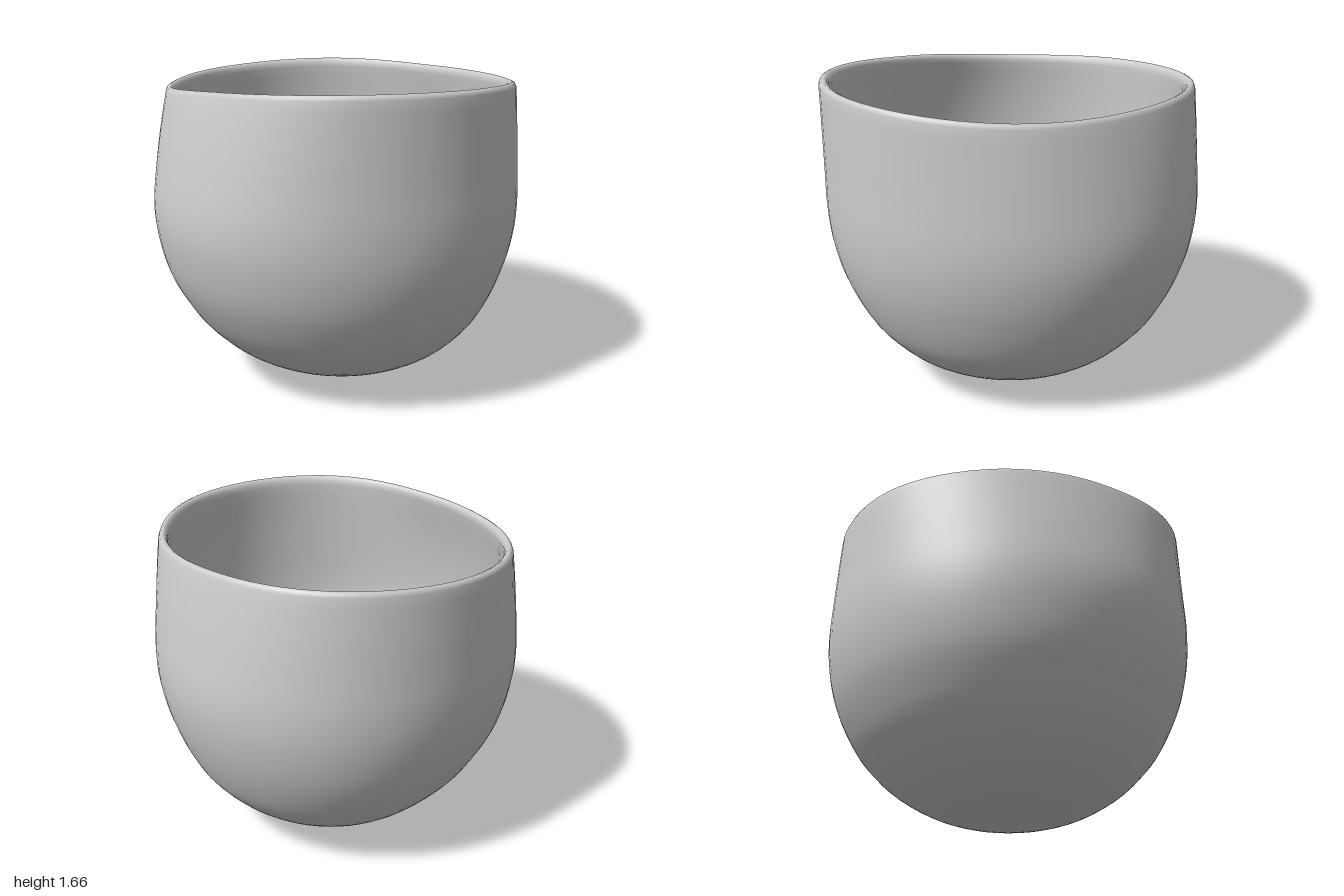
import * as THREE from 'three';
import { mergeVertices } from 'three/addons/utils/BufferGeometryUtils.js';

const v2 = (p) => new THREE.Vector2(p[0], p[1]);

// Smooth, evenly sampled profile through a few points
const smoothProfile = (pts, n) => new THREE.SplineCurve(pts.map(v2)).getSpacedPoints(n);

// Hand-formed irregularity at 8 directions, starting at the front and turning to +x:
// [belly radius, rim radius, rim height]
const irregularity = new THREE.CatmullRomCurve3([
  [1.0, 0.99, 1.66],
  [1.01, 0.995, 1.65],
  [0.98, 0.92, 1.61],
  [0.985, 0.872, 1.605],
  [1.0, 0.955, 1.615],
  [0.965, 0.94, 1.595],
  [0.98, 0.895, 1.58],
  [1.005, 0.868, 1.625],
].map((p) => new THREE.Vector3(...p)), true, 'catmullrom', 0.5);

function bowlGeometry() {
  // Outer wall from the base up, over the thin lip, then down the inner wall
  const outer = smoothProfile([[0, 0], [0.2, 0.012], [0.36, 0.05], [0.5, 0.11], [0.64, 0.2],
    [0.75, 0.305], [0.83, 0.41], [0.925, 0.6], [0.98, 0.8], [1, 1], [1, 1.2], [1, 1.4],
    [1, 1.595]], 40);
  const lip = [[0.992, 1.613], [0.976, 1.62], [0.96, 1.612], [0.95, 1.595]].map(v2);
  const inner = smoothProfile([[0.945, 1.57], [0.942, 1.3], [0.93, 1], [0.9, 0.8], [0.835, 0.6],
    [0.73, 0.41], [0.59, 0.26], [0.4, 0.14], [0.2, 0.085], [0, 0.07]], 36);

  const geo = new THREE.LatheGeometry([...outer, ...lip, ...inner], 72);
  const pos = geo.attributes.position;
  for (let i = 0; i < pos.count; i++) {
    const x = pos.getX(i), y = pos.getY(i), z = pos.getZ(i);
    const turn = Math.atan2(x, z) / (Math.PI * 2);
    const [belly, rim, height] = irregularity.getPoint((turn + 1) % 1).toArray();
    // The belly shape fades into the uneven rim towards the top
    const t = Math.pow(THREE.MathUtils.clamp((y - 0.9) / 0.7, 0, 1), 1.5);
    const scale = THREE.MathUtils.lerp(belly, rim, t);
    // The rounded base sits slightly off-centre
    const lean = 0.04 * Math.max(0, 1 - y / 0.6);
    pos.setXYZ(i, x * scale + lean, y + (height - 1.62) * t, z * scale);
  }
  // Weld the seam so the shading is smooth all round
  geo.deleteAttribute('uv');
  geo.deleteAttribute('normal');
  const welded = mergeVertices(geo, 1e-4);
  welded.computeVertexNormals();
  return welded;
}

export function createModel() {
  const group = new THREE.Group();
  group.name = 'roundCup';
  const bowl = new THREE.Mesh(bowlGeometry(), new THREE.MeshStandardMaterial({ color: 0xcccccc }));
  bowl.name = 'bowl';
  group.add(bowl);
  return group;
}
